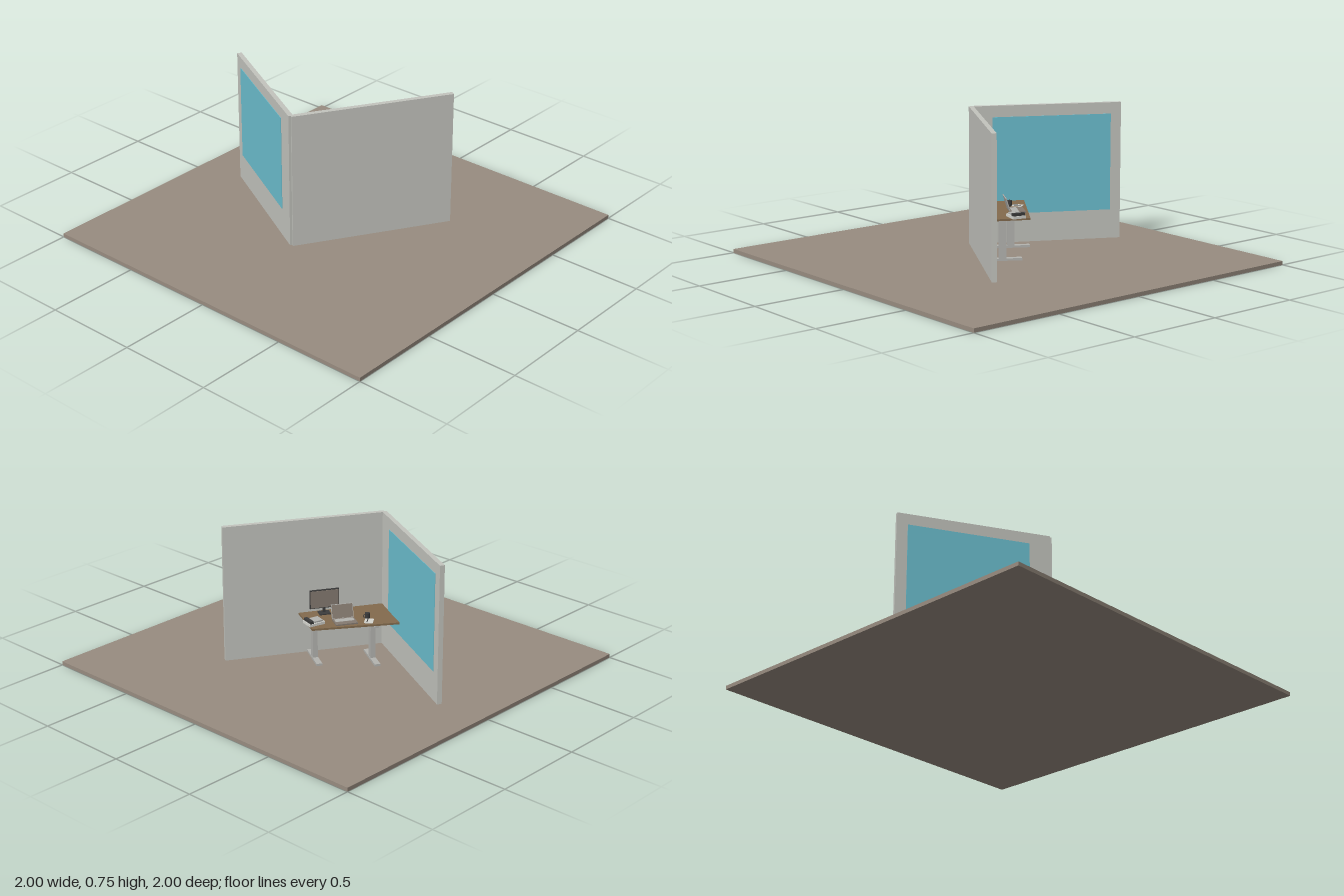
import * as THREE from 'three';

const paint = (name, color) => Object.assign(new THREE.MeshStandardMaterial({ color }), { name });

export function createModel() {
  const model = new THREE.Group();
  model.name = 'officeCorner';
  const ground = paint('floor taupe', 0x988c80);
  const plaster = paint('wall grey', 0xc3c4be);
  const glass = paint('window blue', 0x6cbfcf);
  const wood = paint('desk wood', 0x836b4e);
  const metal = paint('leg grey', 0xb4b4b0);
  const panel = paint('screen taupe', 0x857a70);
  const dark = paint('charcoal', 0x3c3c3c);
  const white = paint('paper white', 0xd6d6d0);

  const add = (parent, name, geometry, material, x, y, z) => {
    const mesh = new THREE.Mesh(geometry, material);
    mesh.name = name;
    mesh.position.set(x, y, z);
    parent.add(mesh);
    return mesh;
  };
  const box = (parent, name, material, w, h, d, x, y, z) =>
    add(parent, name, new THREE.BoxGeometry(w, h, d), material, x, y, z);

  box(model, 'floor', ground, 2, 0.02, 2, 0, 0.01, 0);

  // Upright slab running between two floor points
  const slab = (name, material, [x0, z0], [x1, z1], y0, y1, thick) => {
    const dx = x1 - x0, dz = z1 - z0;
    const mesh = box(model, name, material, Math.hypot(dx, dz), y1 - y0, thick,
      (x0 + x1) / 2, (y0 + y1) / 2, (z0 + z1) / 2);
    mesh.rotation.y = Math.atan2(-dz, dx);
  };
  const corner = [-0.036, 0.314];
  slab('plainWall', plaster, corner, [0.404, -0.4135], 0.02, 0.75, 0.025);
  slab('windowWall', plaster, [-0.743, -0.062], corner, 0.02, 0.75, 0.025);
  slab('windowPane', glass, [-0.694, -0.036], [-0.134, 0.262], 0.175, 0.69, 0.03);

  // Desk top, a slightly skewed four-sided board
  const outline = [[-0.01, -0.195], [0.187, -0.09], [-0.04, 0.3], [-0.278, 0.174]];
  const board = new THREE.ExtrudeGeometry(
    new THREE.Shape(outline.map(([x, z]) => new THREE.Vector2(x, -z))),
    { depth: 0.01, bevelEnabled: false });
  board.rotateX(-Math.PI / 2);
  add(model, 'deskTop', board, wood, 0, 0.235, 0);

  // Groups aligned with the desk: local z points to the plain wall
  const deskY = 0.245;
  const place = (name, x, y, z, turn = 1.025) => {
    const group = new THREE.Group();
    group.name = name;
    group.position.set(x, y, z);
    group.rotation.y = turn;
    model.add(group);
    return group;
  };

  // Two T-shaped legs
  for (const [x, z] of [[0.082, -0.084], [-0.138, 0.115]]) {
    const leg = place('deskLeg', x, 0.02, z);
    box(leg, 'foot', metal, 0.03, 0.012, 0.2, 0, 0.006, 0);
    box(leg, 'post', metal, 0.026, 0.2, 0.036, 0, 0.11, 0);
    box(leg, 'topBracket', metal, 0.026, 0.01, 0.16, 0, 0.21, 0);
  }
  const beam = place('crossBeam', -0.028, 0.215, 0.016, 0.735);
  box(beam, 'beam', metal, 0.28, 0.018, 0.02, 0, 0, 0);

  // Monitor on a stand
  const monitor = place('monitor', 0.085, deskY, -0.005);
  box(monitor, 'monitorFoot', dark, 0.06, 0.005, 0.05, 0, 0.0025, 0.005);
  box(monitor, 'monitorNeck', dark, 0.014, 0.07, 0.008, 0, 0.035, 0.011);
  box(monitor, 'monitorBody', dark, 0.155, 0.1, 0.01, 0, 0.083, 0.002);
  box(monitor, 'monitorScreen', panel, 0.147, 0.092, 0.002, 0, 0.083, -0.004);

  // Open laptop, lid leaning back
  const laptop = place('laptop', -0.06, deskY, -0.01);
  box(laptop, 'laptopBase', panel, 0.115, 0.007, 0.08, 0, 0.0035, -0.01);
  box(laptop, 'keyboard', metal, 0.1, 0.001, 0.035, 0, 0.0075, 0.002);
  const lid = new THREE.Group();
  lid.name = 'laptopLid';
  lid.position.set(0, 0.005, 0.03);
  lid.rotation.x = 0.3;
  laptop.add(lid);
  box(lid, 'lidShell', metal, 0.115, 0.075, 0.004, 0, 0.0375, 0);
  box(lid, 'lidScreen', panel, 0.109, 0.069, 0.002, 0, 0.0375, -0.0025);

  // Desk phone and paper tray at the back end
  const phone = place('deskPhone', 0.035, deskY, -0.135, 1.3);
  box(phone, 'phoneBase', white, 0.09, 0.014, 0.07, 0, 0.007, 0);
  box(phone, 'phonePad', metal, 0.05, 0.008, 0.055, -0.012, 0.018, 0);
  box(phone, 'handset', dark, 0.018, 0.014, 0.066, 0.03, 0.021, 0);

  // Notepad and mug
  const pad = place('notepad', -0.152, deskY, 0.075, 0.6);
  box(pad, 'pages', white, 0.045, 0.004, 0.055, 0, 0.002, 0);
  box(pad, 'pen', dark, 0.004, 0.003, 0.04, 0.008, 0.0055, 0);
  const mug = place('mug', -0.118, deskY, 0.1);
  add(mug, 'cup', new THREE.CylinderGeometry(0.013, 0.012, 0.03, 20), dark, 0, 0.015, 0);
  add(mug, 'mugHandle', new THREE.TorusGeometry(0.008, 0.002, 8, 16), dark, 0.014, 0.015, 0);

  return model;
}
